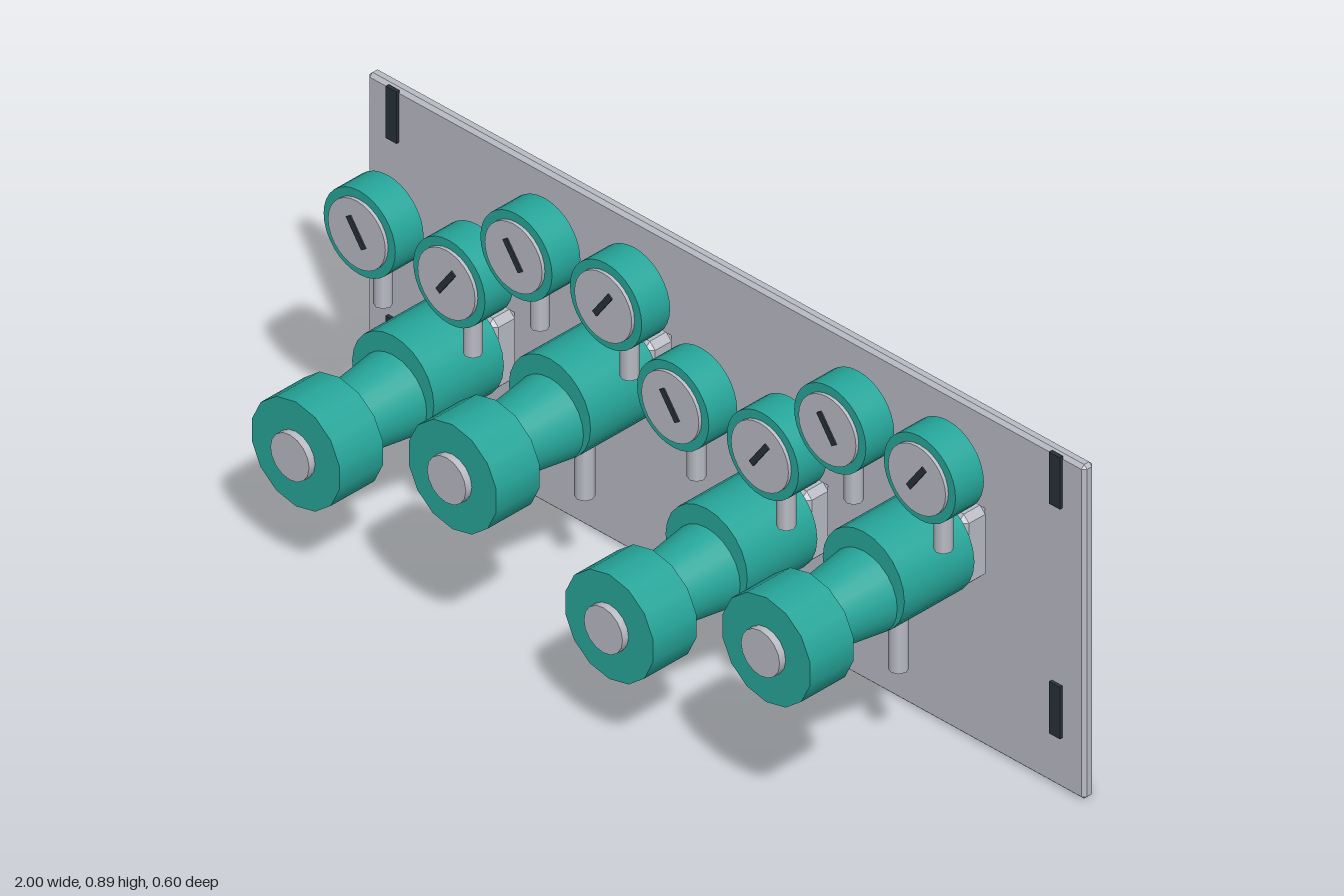
import * as THREE from 'three';
import { ConvexGeometry } from 'three/addons/geometries/ConvexGeometry.js';

const material = (name, color, flatShading = false) => {
  const m = new THREE.MeshStandardMaterial({ color });
  m.name = name;
  m.flatShading = flatShading;
  return m;
};

// Box with every edge cut by a chamfer c
function chamferBox(w, h, d, c) {
  const pts = [];
  for (const sx of [-1, 1]) for (const sy of [-1, 1]) for (const sz of [-1, 1]) {
    const [x, y, z] = [w / 2, h / 2, d / 2];
    pts.push(
      new THREE.Vector3(sx * x, sy * (y - c), sz * (z - c)),
      new THREE.Vector3(sx * (x - c), sy * y, sz * (z - c)),
      new THREE.Vector3(sx * (x - c), sy * (y - c), sz * z));
  }
  return new ConvexGeometry(pts);
}

// Cylinder along z, from back z0 (radius r0) to front z1 (radius r1)
function barrel(r0, r1, z0, z1, sides) {
  return new THREE.CylinderGeometry(r1, r0, z1 - z0, sides)
    .rotateX(Math.PI / 2).translate(0, 0, (z0 + z1) / 2);
}

export function createModel() {
  const teal = material('teal', 0x26a69a);
  const metal = material('light grey', 0xbabcc5);
  const dark = material('dark slate', 0x263238);

  const add = (parent, name, geometry, mat, x = 0, y = 0, z = 0) => {
    const mesh = new THREE.Mesh(geometry, mat);
    mesh.name = name;
    mesh.position.set(x, y, z);
    parent.add(mesh);
    return mesh;
  };

  const model = new THREE.Group();
  model.name = 'regulatorPanel';

  // Back plate with four mounting slots
  add(model, 'backPlate', chamferBox(2, 0.8, 0.03, 0.008), metal, 0, 0.402, -0.282);
  for (const x of [-0.925, 0.925]) for (const y of [0.739, 0.189])
    add(model, 'mountingSlot', new THREE.BoxGeometry(0.03, 0.124, 0.009), dark, x, y, -0.2635);

  // Shared part geometries
  const connector = chamferBox(0.168, 0.172, 0.076, 0.015);
  const body = barrel(0.114, 0.114, -0.191, 0.007, 24);
  const bonnet = barrel(0.095, 0.073, 0.0, 0.165, 24);
  const knob = barrel(0.125, 0.125, 0.159, 0.282, 14);
  const cap = barrel(0.054, 0.054, 0.28, 0.299, 16);
  const outlet = new THREE.CylinderGeometry(0.021, 0.021, 0.2, 8);
  const stem = new THREE.CylinderGeometry(0.02, 0.02, 0.124, 8);
  const housing = barrel(0.1, 0.1, -0.105, -0.025, 32);
  const dial = barrel(0.08, 0.08, -0.027, -0.017, 28);
  const needle = new THREE.BoxGeometry(0.014, 0.074, 0.006);

  // Four regulators at alternating heights; y is the knob axis
  [-0.657, -0.22, 0.217, 0.655].forEach((x, i) => {
    const regulator = new THREE.Group();
    regulator.name = 'regulator';
    regulator.position.set(x, i % 2 ? 0.466 : 0.314, 0);
    model.add(regulator);

    add(regulator, 'connector', connector, metal, 0, 0.037, -0.229);
    add(regulator, 'body', body, teal, 0, 0.037);
    add(regulator, 'bonnet', bonnet, teal, 0, 0.011);
    add(regulator, 'knob', knob, teal);
    add(regulator, 'knobCap', cap, metal);
    add(regulator, 'outletPipe', outlet, metal, 0, -0.124, -0.092);

    // Mirrored pair of pressure gauges
    for (const side of [-1, 1]) {
      const gauge = new THREE.Group();
      gauge.name = side > 0 ? 'leftGauge' : 'rightGauge';
      gauge.position.set(side * 0.125, 0.323, 0);
      regulator.add(gauge);
      add(gauge, 'gaugeStem', stem, metal, 0, -0.139, -0.092);
      add(gauge, 'gaugeHousing', housing, teal);
      add(gauge, 'gaugeDial', dial, metal);
      add(gauge, 'needle', needle, dark, 0, 0.005, -0.0165).rotation.z = -side * 0.62;
    }
  });

  return model;
}
